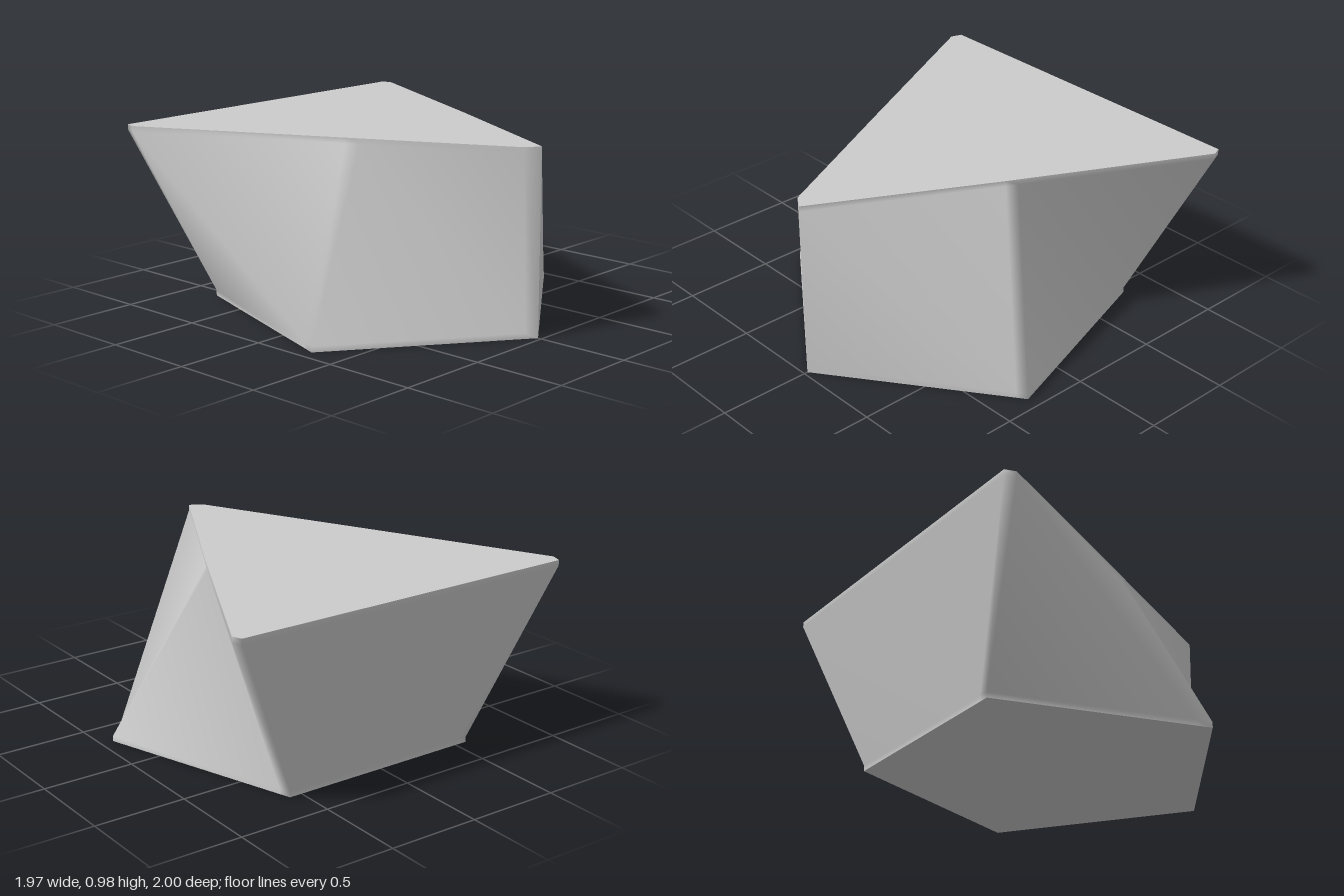
import * as THREE from 'three';

// Outlines as [x, z], running from the +x tip towards +z and round.
// Each corner is cut by a narrow strip that softens the edge between walls.
const pentagon = [[0.98, 0], [0.94, 0.055], [0.305, 0.93], [0.23, 0.905], [-0.79, 0.57], [-0.79, 0.51],
  [-0.79, -0.57], [-0.73, -0.59], [0.305, -0.93], [0.34, -0.88], [0.98, 0]];
const triangle = [[0.98, 0], [0.93, 0.075], [0.18, 0.45], [0.11, 0.485], [-0.93, 1.0], [-0.99, 0.98],
  [-0.99, -0.98], [-0.94, -1.0], [0, -0.52], [0.06, -0.49], [0.98, 0]];
const HEIGHT = 0.98, RIM = 0.03;

function makeMesh(name, points, index) {
  const geometry = new THREE.BufferGeometry();
  geometry.setAttribute('position', new THREE.Float32BufferAttribute(points.flat(), 3));
  geometry.setIndex(index);
  geometry.computeVertexNormals();
  const mesh = new THREE.Mesh(geometry, new THREE.MeshStandardMaterial({ color: 0xcccccc }));
  mesh.name = name;
  return mesh;
}

// Skin a stack of rings; the last point of each ring repeats the first as a seam
function makeWalls(rings) {
  const n = rings[0].length;
  const index = [];
  for (let j = 0; j < rings.length - 1; j++) {
    for (let k = 0; k < n - 1; k++) {
      const b = j * n + k, t = b + n;
      index.push(b, t, t + 1, b, t + 1, b + 1);
    }
  }
  return makeMesh('twistedWalls', rings.flat(), index);
}

// Flat cap, fanned from the middle
function makeCap(name, ring, y, up) {
  const index = [];
  for (let k = 1; k < ring.length; k++) index.push(0, ...(up ? [k + 1, k] : [k, k + 1]));
  return makeMesh(name, [[0, y, 0], ...ring], index);
}

export function createModel() {
  const group = new THREE.Group();
  group.name = 'pentagonToTriangleLoft';
  const ringAt = (outline, y) => outline.map(([x, z]) => [x, y, z]);

  // Upright rims at both ends, with the loft between them
  const rings = [
    ringAt(pentagon, 0),
    ringAt(pentagon, RIM),
    ringAt(triangle, HEIGHT - RIM),
    ringAt(triangle, HEIGHT),
  ];
  group.add(
    makeWalls(rings),
    makeCap('pentagonBase', rings[0], 0, false),
    makeCap('triangleTop', rings[3], HEIGHT, true),
  );
  return group;
}
